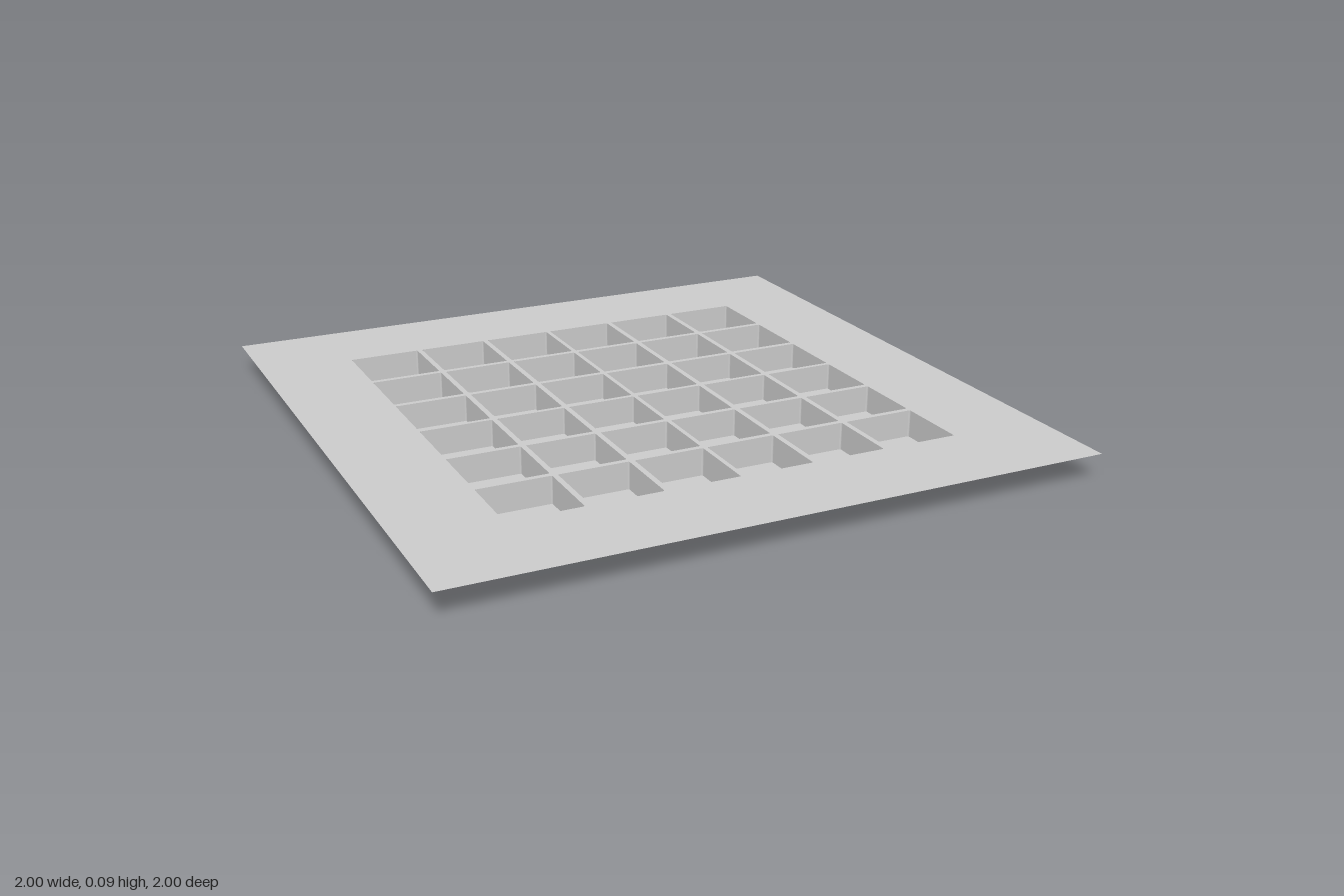
import * as THREE from 'three';

const HEIGHT = 0.085;
const RADIUS = 0.005;
// Start and end of each pocket along either axis, mirrored about the middle
const half = [[0.007, 0.224], [0.241, 0.459], [0.476, 0.703]];
const spans = [...half.map(([a, b]) => [-b, -a]).reverse(), ...half];

// Rounded rectangle outline, drawn counter-clockwise
function outline(x0, x1, y0, y1, r, Type) {
  const s = new Type();
  s.moveTo(x0 + r, y0);
  s.lineTo(x1 - r, y0);
  s.absarc(x1 - r, y0 + r, r, -Math.PI / 2, 0);
  s.lineTo(x1, y1 - r);
  s.absarc(x1 - r, y1 - r, r, 0, Math.PI / 2);
  s.lineTo(x0 + r, y1);
  s.absarc(x0 + r, y1 - r, r, Math.PI / 2, Math.PI);
  s.lineTo(x0, y0 + r);
  s.absarc(x0 + r, y0 + r, r, Math.PI, Math.PI * 1.5);
  return s;
}

// Vertical strip that follows an outline from the floor up to the plate
function wallGeometry(shape) {
  const pts = shape.getPoints(3);
  const pos = [], index = [];
  pts.forEach((p, i) => {
    pos.push(p.x, 0, -p.y, p.x, HEIGHT, -p.y);
    const a = i * 2, b = ((i + 1) % pts.length) * 2;
    index.push(a, b, b + 1, a, b + 1, a + 1);
  });
  const g = new THREE.BufferGeometry();
  g.setAttribute('position', new THREE.Float32BufferAttribute(pos, 3));
  g.setIndex(index);
  g.computeVertexNormals();
  return g;
}

export function createModel() {
  const model = new THREE.Group();
  model.name = 'pocketTray';
  const material = new THREE.MeshStandardMaterial({
    color: 0xcccccc, side: THREE.DoubleSide, flatShading: true,
  });
  const add = (parent, geometry, name) => {
    const mesh = new THREE.Mesh(geometry, material);
    mesh.name = name;
    parent.add(mesh);
    return mesh;
  };

  // Thin square sheet, pierced by one opening per pocket
  const sheet = new THREE.Shape([
    new THREE.Vector2(-1, -1), new THREE.Vector2(1, -1),
    new THREE.Vector2(1, 1), new THREE.Vector2(-1, 1),
  ]);

  // Six by six open pockets, each with a wall and a floor
  spans.forEach(([y0, y1], row) => spans.forEach(([x0, x1], col) => {
    sheet.holes.push(outline(x0, x1, y0, y1, RADIUS, THREE.Path));
    const shape = outline(x0, x1, y0, y1, RADIUS, THREE.Shape);
    const pocket = new THREE.Group();
    pocket.name = `pocket_${row + 1}_${col + 1}`;
    add(pocket, wallGeometry(shape), 'pocketWall');
    add(pocket, new THREE.ShapeGeometry(shape, 3).rotateX(-Math.PI / 2), 'pocketFloor');
    model.add(pocket);
  }));

  const plate = add(model, new THREE.ShapeGeometry(sheet, 3).rotateX(-Math.PI / 2), 'topPlate');
  plate.position.y = HEIGHT;
  return model;
}
